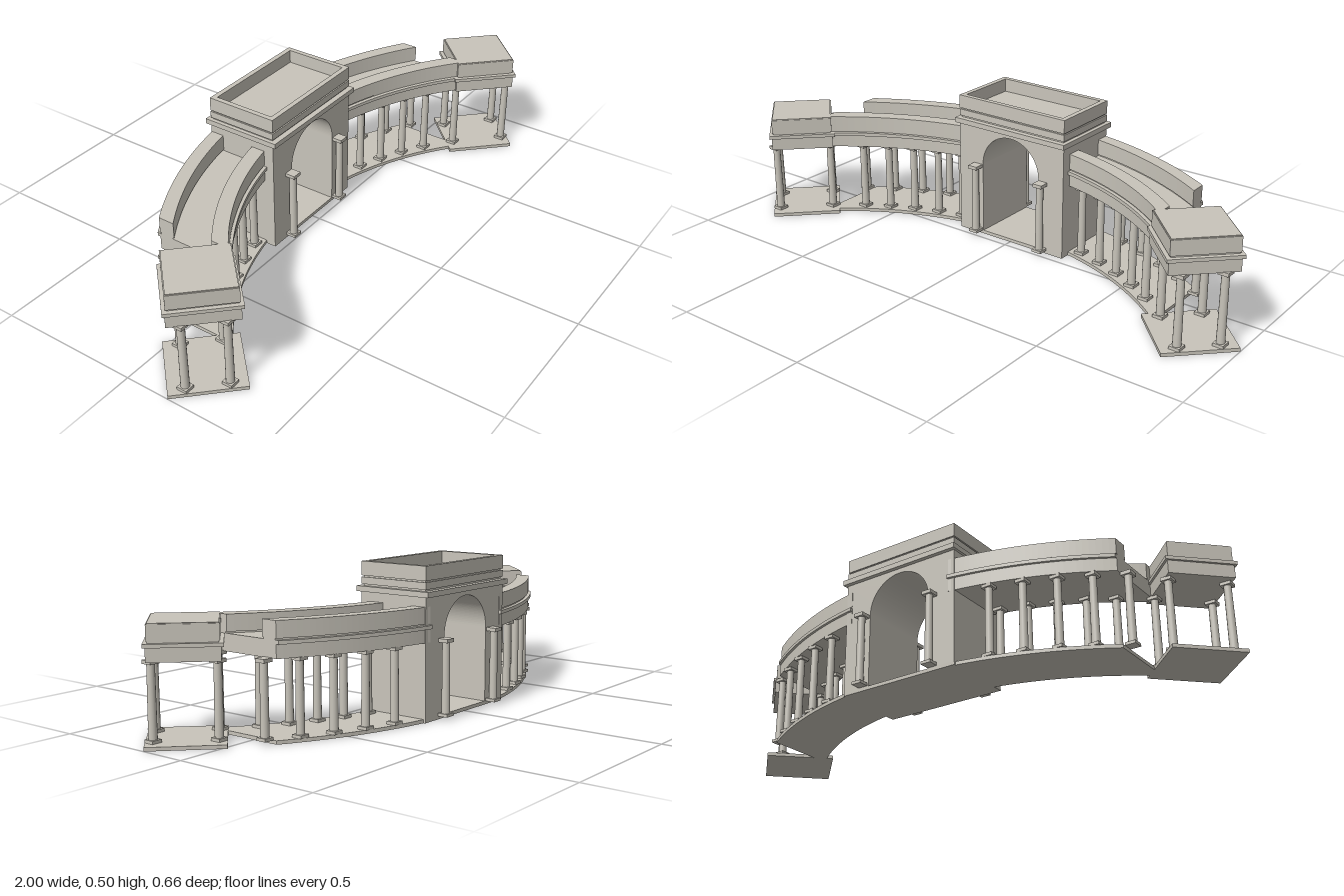
import * as THREE from 'three';

const stone = new THREE.MeshStandardMaterial({ color: 0xc8c4ba });
stone.name = 'pale stone';

const FLOOR = 0.012;   // top of the paving
const ARC_Z = 1.0;     // centre of the curved wings
const WING_END = 0.706;

function add(parent, name, geometry, x = 0, y = 0, z = 0) {
  const mesh = new THREE.Mesh(geometry, stone);
  mesh.name = name;
  mesh.position.set(x, y, z);
  parent.add(mesh);
  return mesh;
}

// box given by its plan size and its bottom and top heights
function slab(parent, name, w, d, y0, y1, x = 0, z = 0) {
  return add(parent, name, new THREE.BoxGeometry(w, y1 - y0, d), x, (y0 + y1) / 2, z);
}

// curved band between two radii, cut square in x at both ends
function band(parent, name, side, r0, r1, y0, y1) {
  const steps = 28, start = 0.2;
  const point = (r, i) => {
    const x = start + (WING_END - start) * i / steps;
    return new THREE.Vector2(side * x, Math.sqrt(r * r - x * x) - ARC_Z);
  };
  const points = [];
  for (let i = 0; i <= steps; i++) points.push(point(r0, i));
  for (let i = steps; i >= 0; i--) points.push(point(r1, i));
  const geometry = new THREE.ExtrudeGeometry(new THREE.Shape(points), { depth: y1 - y0, bevelEnabled: false });
  geometry.rotateX(-Math.PI / 2);
  add(parent, name, geometry, 0, y0, 0);
}

const shaftGeometry = new THREE.CylinderGeometry(0.0125, 0.014, 1, 16);
function column(parent, x, z, top = 0.262) {
  const group = new THREE.Group();
  group.name = 'column';
  group.position.set(x, 0, z);
  slab(group, 'columnBase', 0.036, 0.036, FLOOR, 0.022);
  const shaft = add(group, 'columnShaft', shaftGeometry, 0, (0.022 + top - 0.012) / 2, 0);
  shaft.scale.y = top - 0.012 - 0.022;
  slab(group, 'columnCapital', 0.036, 0.036, top - 0.012, top);
  parent.add(group);
}

function buildGate() {
  const gate = new THREE.Group();
  gate.name = 'centralArch';
  const zc = -0.16, w = 0.446, d = 0.26, r = 0.12, spring = 0.27;
  slab(gate, 'archFloor', w, d, 0, FLOOR, 0, zc);

  // wall block with a round-headed passage
  const s = new THREE.Shape();
  s.moveTo(-w / 2, FLOOR);
  s.lineTo(-r, FLOOR);
  s.lineTo(-r, spring);
  s.absarc(0, spring, r, Math.PI, 0, true);
  s.lineTo(r, FLOOR);
  s.lineTo(w / 2, FLOOR);
  s.lineTo(w / 2, 0.406);
  s.lineTo(-w / 2, 0.406);
  s.closePath();
  add(gate, 'archWall', new THREE.ExtrudeGeometry(s, { depth: d, bevelEnabled: false, curveSegments: 32 }), 0, 0, zc - d / 2);

  slab(gate, 'archCornice', 0.464, 0.29, 0.406, 0.424, 0, zc);
  slab(gate, 'atticNeck', w - 0.01, d - 0.01, 0.424, 0.43, 0, zc);
  slab(gate, 'atticBase', w, d, 0.43, 0.453, 0, zc);
  slab(gate, 'atticGroove', w - 0.01, d - 0.01, 0.453, 0.458, 0, zc);

  // hollow parapet on top
  const t = 0.018;
  for (const side of [-1, 1]) {
    slab(gate, 'parapetLong', w, t, 0.458, 0.505, 0, zc + side * (d - t) / 2);
    slab(gate, 'parapetShort', t, d - 2 * t, 0.458, 0.505, side * (w - t) / 2, zc);
    column(gate, side * 0.14, -0.011, 0.267);
    column(gate, side * 0.14, -0.311, 0.267);
  }
  return gate;
}

function buildWing(side) {
  const wing = new THREE.Group();
  wing.name = side > 0 ? 'leftWing' : 'rightWing';
  band(wing, 'wingFloor', side, 1.09, 1.303, 0, FLOOR);
  band(wing, 'wingArchitrave', side, 1.09, 1.307, 0.26, 0.304);
  band(wing, 'wingCornice', side, 1.081, 1.316, 0.304, 0.316);
  for (const [r0, r1] of [[1.09, 1.14], [1.26, 1.307]]) {
    band(wing, 'parapetNeck', side, r0 + 0.004, r1 - 0.004, 0.316, 0.321);
    band(wing, 'wingParapet', side, r0, r1, 0.321, 0.375);
  }
  // inner and outer rows of columns
  for (const [r, first] of [[1.12, 0.238], [1.288, 0.256]]) {
    for (let i = 0; i < 5; i++) {
      const a = first + i * 0.0852;
      column(wing, side * r * Math.sin(a), ARC_Z - r * Math.cos(a));
    }
  }
  return wing;
}

function buildPavilion(side) {
  const pavilion = new THREE.Group();
  pavilion.name = side > 0 ? 'leftPavilion' : 'rightPavilion';
  const cx = side * 0.828, cz = 0.158;
  // square tiers turned by 45 degrees: name, half diagonal, bottom, top
  const tiers = [
    ['pavilionFloor', 0.172, 0, FLOOR],
    ['pavilionArchitrave', 0.155, 0.26, 0.304],
    ['pavilionCornice', 0.166, 0.304, 0.316],
    ['roofNeck', 0.146, 0.316, 0.321],
    ['roofBlock', 0.151, 0.321, 0.372],
    ['roofCap', 0.147, 0.372, 0.375],
  ];
  for (const [name, h, y0, y1] of tiers) {
    slab(pavilion, name, h * Math.SQRT2, h * Math.SQRT2, y0, y1, cx, cz).rotation.y = Math.PI / 4;
  }
  for (const k of [-1, 1]) {
    column(pavilion, cx + side * k * 0.116, cz + k * 0.0215);
    column(pavilion, cx + side * k * 0.0215, cz + k * 0.116);
  }
  return pavilion;
}

export function createModel() {
  const model = new THREE.Group();
  model.name = 'curvedColonnade';
  model.add(buildGate());
  for (const side of [-1, 1]) model.add(buildWing(side), buildPavilion(side));
  return model;
}
